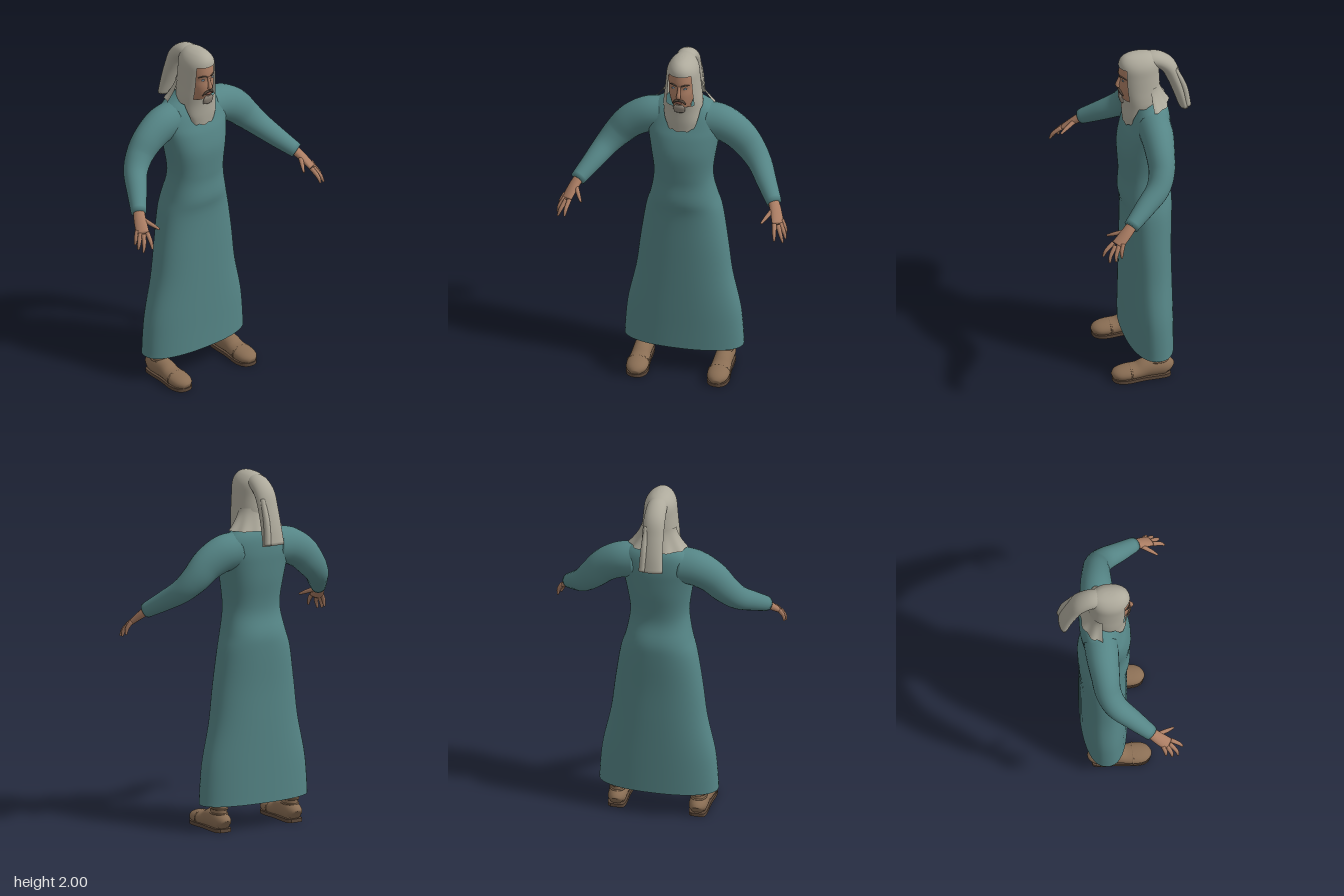
import * as THREE from 'three';

const mat = (name, color, side = THREE.FrontSide) => {
  const m = new THREE.MeshStandardMaterial({ color, side });
  m.name = name;
  return m;
};
const V = (p) => new THREE.Vector3(...p);

// Smooth surface closed around u; skip(u, v) leaves holes
function grid(nu, nv, f, skip = () => false, closed = true) {
  const pos = [], idx = [], w = closed ? nu : nu + 1;
  for (let j = 0; j <= nv; j++)
    for (let i = 0; i < w; i++) pos.push(...f(i / nu, j / nv));
  for (let j = 0; j < nv; j++)
    for (let i = 0; i < nu; i++) {
      if (skip((i + 0.5) / nu, (j + 0.5) / nv)) continue;
      const a = j * w + i, b = j * w + ((i + 1) % w), c = b + w, d = a + w;
      idx.push(a, b, c, a, c, d);
    }
  const g = new THREE.BufferGeometry();
  g.setAttribute('position', new THREE.Float32BufferAttribute(pos, 3));
  g.setIndex(idx);
  g.computeVertexNormals();
  return g;
}

const spline = (pts) => new THREE.CatmullRomCurve3(pts.map(V), false, 'catmullrom');

// Stacked rings, bottom to top: [y, half width, front z, back z]
function loft(table, nv, { power = 1, skip, ripple = () => 0 } = {}) {
  const ys = spline(table.map((r) => [r[0], 0, 0]));
  const rs = spline(table.map((r) => r.slice(1)));
  const sp = (s) => Math.sign(s) * Math.abs(s) ** power;
  const ang = (u) => (u > 0.5 ? u - 1 : u) * 2 * Math.PI;
  return grid(48, nv, (u, v) => {
    const y = ys.getPoint(v).x, r = rs.getPoint(v), a = ang(u);
    const zc = (r.y + r.z) / 2, rz = (r.y - r.z) / 2;
    return [r.x * sp(Math.sin(a)), y + ripple(a, v), zc + rz * sp(Math.cos(a))];
  }, skip && ((u, v) => skip(Math.abs(ang(u)), ys.getPoint(v).x)));
}

// Oval tube with closed ends: rows [x, y, z, radius along side, other radius]
function sweep(rows, side = [1, 0, 0], nu = 14, nv = 20) {
  const path = spline(rows.map((r) => r.slice(0, 3)));
  const rad = spline(rows.map((r) => [r[3], r[4] ?? r[3], 0]));
  return grid(nu, nv + 2, (u, v) => {
    const j = Math.round(v * (nv + 2));
    const t = THREE.MathUtils.clamp((j - 1) / nv, 0, 1);
    const k = j === 0 || j === nv + 2 ? 0.001 : 1;
    const T = path.getTangent(t), S = V(side);
    S.addScaledVector(T, -S.dot(T)).normalize();
    const U = T.clone().cross(S), r = rad.getPoint(t), a = u * 2 * Math.PI;
    return path.getPoint(t).addScaledVector(S, k * r.x * Math.cos(a))
      .addScaledVector(U, k * r.y * Math.sin(a)).toArray();
  });
}

export function createModel() {
  const model = new THREE.Group();
  const robe = mat('teal cloth', 0x558586, THREE.DoubleSide);
  const scarf = mat('grey cloth', 0xaeaa9c, THREE.DoubleSide);
  const skin = mat('skin', 0xab7d63);
  const leather = mat('brown leather', 0x8a6e54);
  const soleMat = mat('dark leather', 0x5e4a3a);
  const hair = mat('dark hair', 0x54463c);
  const beardMat = mat('grey beard', 0x8d8377);
  const lipMat = mat('lips', 0x8f5f50);
  const eyeMat = mat('eyes', 0x6f8796);
  const add = (name, geo, m, parent = model) => {
    const mesh = new THREE.Mesh(geo, m);
    mesh.name = name;
    parent.add(mesh);
    return mesh;
  };

  // Long robe, open at the hem
  add('robe', loft([
    [0.15, 0.335, 0.055, -0.205], [0.27, 0.328, 0.055, -0.205], [0.4, 0.313, 0.056, -0.205],
    [0.6, 0.27, 0.057, -0.205], [0.8, 0.245, 0.058, -0.205], [1.0, 0.215, 0.06, -0.213],
    [1.1, 0.187, 0.075, -0.21], [1.2, 0.168, 0.07, -0.18], [1.28, 0.165, 0.075, -0.178],
    [1.4, 0.182, 0.08, -0.195], [1.5, 0.2, 0.06, -0.203], [1.56, 0.21, 0.035, -0.205],
    [1.62, 0.2, 0.01, -0.2], [1.66, 0.17, -0.01, -0.19], [1.69, 0.125, -0.025, -0.172],
    [1.72, 0.085, -0.035, -0.153], [1.76, 0.065, -0.04, -0.14],
  ], 64, { power: 0.87 }), robe);

  // Hood with a face opening and a long bib in front
  add('hood', loft([
    [1.56, 0.08, 0.05, -0.04], [1.62, 0.095, 0.055, -0.06], [1.69, 0.108, 0.058, -0.14],
    [1.74, 0.107, 0.064, -0.15], [1.8, 0.1, 0.072, -0.155], [1.87, 0.093, 0.075, -0.152],
    [1.925, 0.087, 0.076, -0.15], [1.96, 0.072, 0.068, -0.142], [1.985, 0.048, 0.045, -0.12],
    [1.997, 0.022, 0.01, -0.08], [2.0, 0.001, -0.03, -0.032],
  ], 56, {
    power: 0.95,
    skip: (a, y) => (a < 0.78 && y > 1.735 && y < 1.925) || (a > 1.31 && y < 1.69),
    ripple: (a, v) => Math.max(0, 1 - v * 8) * (0.012 * Math.abs(a) ** 2 + 0.005 * Math.sin(a * 9)),
  }), scarf);

  // Hood cloth spreading over the shoulders and back
  add('hoodDrape', grid(36, 8, (u, v) => {
    const a = Math.PI * (0.52 + 0.96 * u), k = (1 - v) ** 1.6;
    const wave = 1 + 0.04 * k * Math.sin(u * 32);
    return [(0.098 + 0.066 * k) * wave * Math.sin(a), 1.69 + 0.12 * v,
      -0.08 + (0.07 + 0.05 * k) * wave * Math.cos(a)];
  }, undefined, false), scarf);

  // Hanging tail of the hood
  add('hoodTail', sweep([
    [0, 1.935, -0.06, 0.05, 0.05], [0, 1.945, -0.13, 0.056, 0.045], [0, 1.9, -0.197, 0.06, 0.045],
    [0, 1.82, -0.235, 0.06, 0.04], [0, 1.72, -0.268, 0.062, 0.036], [0, 1.625, -0.292, 0.067, 0.029],
  ], [1, 0, 0], 24, 30), scarf);
  add('tailFold', sweep([[0.035, 1.88, -0.235, 0.015], [0.04, 1.76, -0.285, 0.018],
    [0.045, 1.635, -0.305, 0.02]]), scarf);

  // Head
  const head = new THREE.Group();
  head.name = 'head';
  model.add(head);
  add('face', loft([
    [1.66, 0.045, 0.0, -0.11], [1.7, 0.048, 0.05, -0.11], [1.74, 0.061, 0.067, -0.12],
    [1.8, 0.074, 0.073, -0.13], [1.845, 0.076, 0.068, -0.13], [1.88, 0.076, 0.074, -0.13],
    [1.94, 0.07, 0.066, -0.12],
  ], 24, { power: 0.95 }), skin, head);
  add('nose', sweep([[0, 1.868, 0.064, 0.008], [0, 1.835, 0.076, 0.009], [0, 1.807, 0.084, 0.013, 0.011],
    [0, 1.795, 0.075, 0.012, 0.008]]), skin, head);
  add('lips', sweep([[-0.018, 1.76, 0.069, 0.004], [0, 1.761, 0.073, 0.006], [0.018, 1.76, 0.069, 0.004]],
    [0, 1, 0]), lipMat, head);
  add('beard', sweep([[0, 1.748, 0.066, 0.018, 0.008], [0, 1.73, 0.067, 0.034, 0.01],
    [0, 1.7, 0.058, 0.03, 0.012]]), beardMat, head);

  for (const s of [-1, 1]) {
    const side = s < 0 ? 'right' : 'left';
    const flip = (rows) => rows.map((r) => [s * r[0], ...r.slice(1)]);

    // Facial details
    const eye = add(side + 'Eye', new THREE.SphereGeometry(1, 14, 8), eyeMat, head);
    eye.scale.set(0.013, 0.006, 0.005);
    eye.position.set(s * 0.031, 1.85, 0.06);
    add(side + 'Eyebrow', sweep(flip([[0.012, 1.869, 0.073, 0.004], [0.034, 1.875, 0.065, 0.005],
      [0.054, 1.866, 0.045, 0.003]]), [0, 1, 0], 8, 10), hair, head);
    add(side + 'Moustache', sweep(flip([[0, 1.779, 0.077, 0.006], [0.02, 1.774, 0.072, 0.007],
      [0.035, 1.75, 0.06, 0.004]]), [0, 1, 0], 8, 10), hair, head);

    // Sleeve
    add(side + 'Sleeve', sweep(flip([
      [0.12, 1.575, -0.095, 0.095, 0.105], [0.21, 1.562, -0.092, 0.09, 0.103],
      [0.3, 1.512, -0.085, 0.08, 0.095], [0.37, 1.44, -0.075, 0.072, 0.083],
      [0.432, 1.37, -0.035, 0.066, 0.068], [0.49, 1.305, 0.05, 0.056, 0.056],
      [0.555, 1.236, 0.148, 0.042, 0.042],
    ]), [0, 0, 1], 24, 36), robe);

    // Hand
    const hand = new THREE.Group();
    hand.name = side + 'Hand';
    model.add(hand);
    add('palm', sweep(flip([[0.545, 1.245, 0.135, 0.03, 0.026], [0.57, 1.207, 0.178, 0.034, 0.022],
      [0.596, 1.157, 0.235, 0.037, 0.015]]), [s * 0.57, 0.08, -0.8]), skin, hand);
    [
      ['thumb', [0.555, 1.212, 0.18], [0.528, 1.188, 0.235], [0.508, 1.17, 0.272]],
      ['indexFinger', [0.577, 1.163, 0.252], [0.587, 1.127, 0.296], [0.591, 1.092, 0.315]],
      ['middleFinger', [0.597, 1.157, 0.245], [0.62, 1.112, 0.278], [0.634, 1.074, 0.288]],
      ['ringFinger', [0.607, 1.16, 0.228], [0.633, 1.116, 0.25], [0.642, 1.08, 0.254]],
      ['littleFinger', [0.611, 1.17, 0.206], [0.632, 1.13, 0.219], [0.638, 1.095, 0.22]],
    ].forEach(([name, a, b, c]) =>
      add(name, sweep(flip([[...a, 0.013], [...b, 0.011], [...c, 0.006]]), [1, 0, 0], 10, 10), skin, hand));

    // Shoe: rows are z, half width, height
    const shoe = new THREE.Group();
    shoe.name = side + 'Shoe';
    shoe.position.x = s * 0.228;
    model.add(shoe);
    const last = [[-0.155, 0.03, 0.07], [-0.135, 0.048, 0.1], [-0.08, 0.052, 0.115], [-0.02, 0.052, 0.11],
      [0.03, 0.056, 0.088], [0.09, 0.062, 0.08], [0.14, 0.052, 0.068], [0.167, 0.022, 0.04]];
    add('upper', sweep(last.map(([z, w, h]) => [0, h / 2 + 0.003, z, w, h / 2]), [1, 0, 0], 24, 28), leather, shoe);
    const outline = [...last.map(([z, w]) => [w, z]), ...last.map(([z, w]) => [-w, z]).reverse()];
    const shape = new THREE.Shape(new THREE.SplineCurve(
      [...outline, outline[0]].map((p) => new THREE.Vector2(...p))).getPoints(60));
    const sole = new THREE.ExtrudeGeometry(shape, { depth: 0.02, bevelEnabled: false });
    sole.rotateX(Math.PI / 2).translate(0, 0.02, 0);
    add('sole', sole, soleMat, shoe);
    add('ankle', sweep([[0, 0.05, -0.088, 0.048, 0.058], [0, 0.11, -0.088, 0.042, 0.056],
      [0, 0.16, -0.09, 0.041, 0.055], [0, 0.3, -0.09, 0.045, 0.055]], [1, 0, 0], 24), leather, shoe);
    for (const y of [0.1, 0.128]) {
      const band = add('ankleBand', new THREE.TorusGeometry(0.043, 0.005, 8, 28), leather, shoe);
      band.rotation.x = Math.PI / 2;
      band.scale.y = 1.3;
      band.position.set(0, y, -0.088);
    }
    const strap = add('toeStrap', new THREE.TorusGeometry(0.06, 0.005, 8, 28), leather, shoe);
    strap.scale.y = 0.65;
    strap.position.set(0, 0.044, 0.07);
  }
  return model;
}
